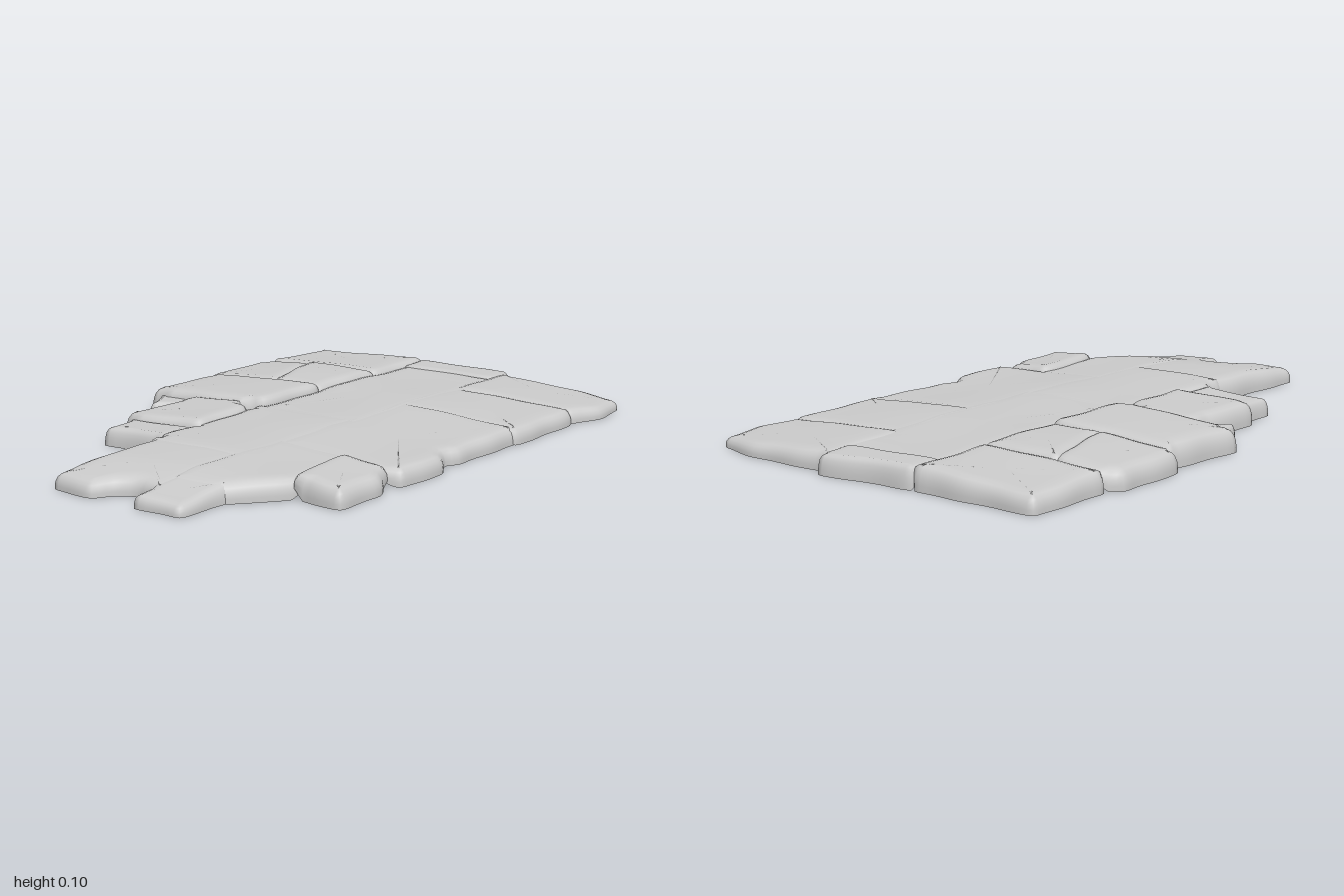
import * as THREE from 'three';

const material = new THREE.MeshStandardMaterial({ color: 0xcccccc, side: THREE.DoubleSide });
const BASE = 0.004;
const SEAM_DEPTH = 0.045;

// Gently worn surface shared by every slab, so neighbours blend where they overlap
function surfaceHeight(x, z) {
  const frontFall = 0.032 * THREE.MathUtils.smoothstep(z, 0.7, 1.05);
  const backFall = 0.016 * THREE.MathUtils.smoothstep(-z, 0.4, 1);
  const leftFall = 0.02 * THREE.MathUtils.smoothstep(x, 0.05, 0.65);
  const wear = 0.0025 * Math.sin(9 * x + 3 * z) + 0.002 * Math.sin(13 * z - 5 * x + 1);
  return 0.08 - frontFall - backFall - leftFall + wear;
}

// Split the edges, soften the corners and add a small chipped wobble
function roughOutline(corners) {
  let pts = [];
  corners.forEach(([x, z], i) => {
    const [nx, nz] = corners[(i + 1) % corners.length];
    const n = Math.max(1, Math.round(Math.hypot(nx - x, nz - z) / 0.025));
    for (let k = 0; k < n; k++) pts.push([x + (nx - x) * k / n, z + (nz - z) * k / n]);
  });
  const at = (i) => pts[(i + pts.length) % pts.length];
  pts = pts.map((p, i) => [0, 1].map((a) => 0.6 * p[a] + 0.2 * (at(i - 1)[a] + at(i + 1)[a])));
  return pts.map(([x, z]) => [
    x + 0.003 * Math.sin(31 * z + 11 * x),
    z + 0.003 * Math.sin(29 * x + 17 * z),
  ]);
}

function contains(outline, x, z) {
  let inside = false;
  outline.forEach(([ax, az], i) => {
    const [bx, bz] = outline[(i + 1) % outline.length];
    if ((az > z) !== (bz > z) && x < ax + (bx - ax) * (z - az) / (bz - az)) inside = !inside;
  });
  return inside;
}

// One hollow stone shell: outer edges reach the base, shared edges stop at a shallow seam
function slab({ name, outline: pts, lift = 0, tilt = 0, bevel = 1.2 }, neighbours) {
  const n = pts.length;
  const cx = pts.reduce((s, p) => s + p[0], 0) / n;
  const cz = pts.reduce((s, p) => s + p[1], 0) / n;
  const top = (x, z) => surfaceHeight(x, z) + lift + tilt * (x - cx);
  const edge = pts.map(([x, z], i) => {
    const a = pts[(i + n - 1) % n], b = pts[(i + 1) % n];
    const l = Math.hypot(b[0] - a[0], b[1] - a[1]) || 1;
    const inX = -(b[1] - a[1]) / l, inZ = (b[0] - a[0]) / l;
    const shared = neighbours.some((o) => contains(o, x - inX * 0.03, z - inZ * 0.03));
    return { x, z, inX, inZ, shared };
  });
  // Rings as [inset, height fraction, scale toward the centre]
  const bevelRings = [[0, 0], [0, 0.25], [0.002, 0.5], [0.007 * bevel, 0.74], [0.016 * bevel, 0.91]];
  const rings = [
    ...bevelRings.map(([inset, f]) => [inset, f, 1]),
    ...[1, 0.8, 0.55, 0.28].map((s) => [0.03 * bevel, 1, s]),
  ];
  const pos = [], index = [];
  for (const [inset, f, s] of rings) {
    for (const e of edge) {
      const d = inset - (e.shared ? 0.012 : 0);
      const x = cx + (e.x + e.inX * d - cx) * s;
      const z = cz + (e.z + e.inZ * d - cz) * s;
      const h = top(x, z);
      const floor = e.shared ? Math.max(BASE, h - SEAM_DEPTH) : BASE;
      pos.push(x, floor + (h - floor) * f, z);
    }
  }
  const centre = pos.length / 3;
  pos.push(cx, top(cx, cz), cz);
  const last = (rings.length - 1) * n;
  for (let i = 0; i < n; i++) {
    const j = (i + 1) % n;
    for (let r = 0; r < rings.length - 1; r++) {
      const a = r * n + i, b = r * n + j;
      index.push(a, a + n, b, b, a + n, b + n);
    }
    index.push(centre, last + j, last + i);
  }
  const geometry = new THREE.BufferGeometry();
  geometry.setAttribute('position', new THREE.Float32BufferAttribute(pos, 3));
  geometry.setIndex(index);
  geometry.computeVertexNormals();
  const mesh = new THREE.Mesh(geometry, material);
  mesh.name = name;
  return mesh;
}

const rect = (x0, x1, z0, z1) => [[x0, z0], [x1, z0], [x1, z1], [x0, z1]];

export function createModel() {
  const stones = [];
  // Corners run clockwise seen from above; lift and tilt set each top
  const stone = (name, corners, shape) => stones.push({ name, outline: roughOutline(corners), ...shape });

  // Raised stones along the right edge
  stone('backRightCornerStone', rect(-0.625, -0.178, -0.973, -0.657), { lift: 0.008, tilt: 0.03 });
  stone('crackedStoneOuter', [[-0.6, -0.65], [-0.44, -0.645], [-0.355, -0.33], [-0.655, -0.33], [-0.655, -0.61]],
    { lift: 0.002, tilt: 0.07 });
  stone('crackedStoneInner', [[-0.445, -0.65], [-0.175, -0.65], [-0.18, -0.33], [-0.36, -0.33]], { lift: 0.013 });
  stone('rightMiddleStone', [[-0.61, -0.325], [-0.18, -0.325], [-0.185, -0.03], [-0.22, 0.005], [-0.64, -0.01]],
    { lift: 0.012, tilt: 0.06 });
  stone('brokenShard', [[-0.61, -0.03], [-0.43, -0.03], [-0.45, 0.045], [-0.55, 0.12]], { lift: -0.02, bevel: 0.7 });
  stone('rightFrontStone', [[-0.445, 0], [-0.25, 0], [-0.19, 0.06], [-0.185, 0.31], [-0.47, 0.335], [-0.475, 0.21]],
    { lift: 0.007, tilt: 0.06 });
  stone('rightEndStone', rect(-0.44, -0.195, 0.33, 0.47), { lift: -0.012, tilt: 0.04, bevel: 0.8 });

  // Stones across the back
  stone('backStone', [[-0.175, -0.97], [-0.07, -0.975], [0.17, -1.003], [0.175, -0.86], [-0.17, -0.84]],
    { lift: 0.007, bevel: 0.8 });
  stone('backLeftCornerStone', [[0.165, -0.965], [0.47, -0.965], [0.64, -0.925], [0.655, -0.76], [0.61, -0.64], [0.165, -0.64]],
    { lift: 0.001, tilt: -0.02 });

  // Worn slabs that merge into a nearly continuous centre
  stone('centreBackSlab', rect(-0.175, 0.215, -0.87, 0.03));
  stone('centreSlab', rect(-0.195, 0.2, -0.03, 0.565));
  stone('centreFrontSlab', [[-0.19, 0.52], [0.18, 0.52], [0.16, 0.92], [0.05, 0.89], [-0.01, 0.92], [-0.04, 0.985], [-0.21, 0.97]],
    { lift: -0.003 });
  stone('leftBackSlab', rect(0.15, 0.62, -0.65, -0.285));
  stone('leftSlab', [[0.15, -0.32], [0.61, -0.315], [0.6, 0.03], [0.57, 0.07], [0.625, 0.14], [0.615, 0.365], [0.15, 0.37]]);
  stone('leftFrontSlab', [[0.14, 0.32], [0.42, 0.32], [0.435, 0.66], [0.3, 0.82], [0.12, 0.84]]);
  stone('frontEndStone', [[0.13, 0.76], [0.31, 0.76], [0.295, 1.0], [0.115, 0.995]], { lift: -0.003, bevel: 0.9 });
  stone('leftEdgeStone', [[0.405, 0.36], [0.55, 0.36], [0.615, 0.47], [0.61, 0.675], [0.44, 0.65], [0.41, 0.52]],
    { lift: 0.01, tilt: -0.09 });

  const path = new THREE.Group();
  path.name = 'stonePath';
  for (const s of stones) {
    path.add(slab(s, stones.filter((o) => o !== s).map((o) => o.outline)));
  }
  return path;
}
